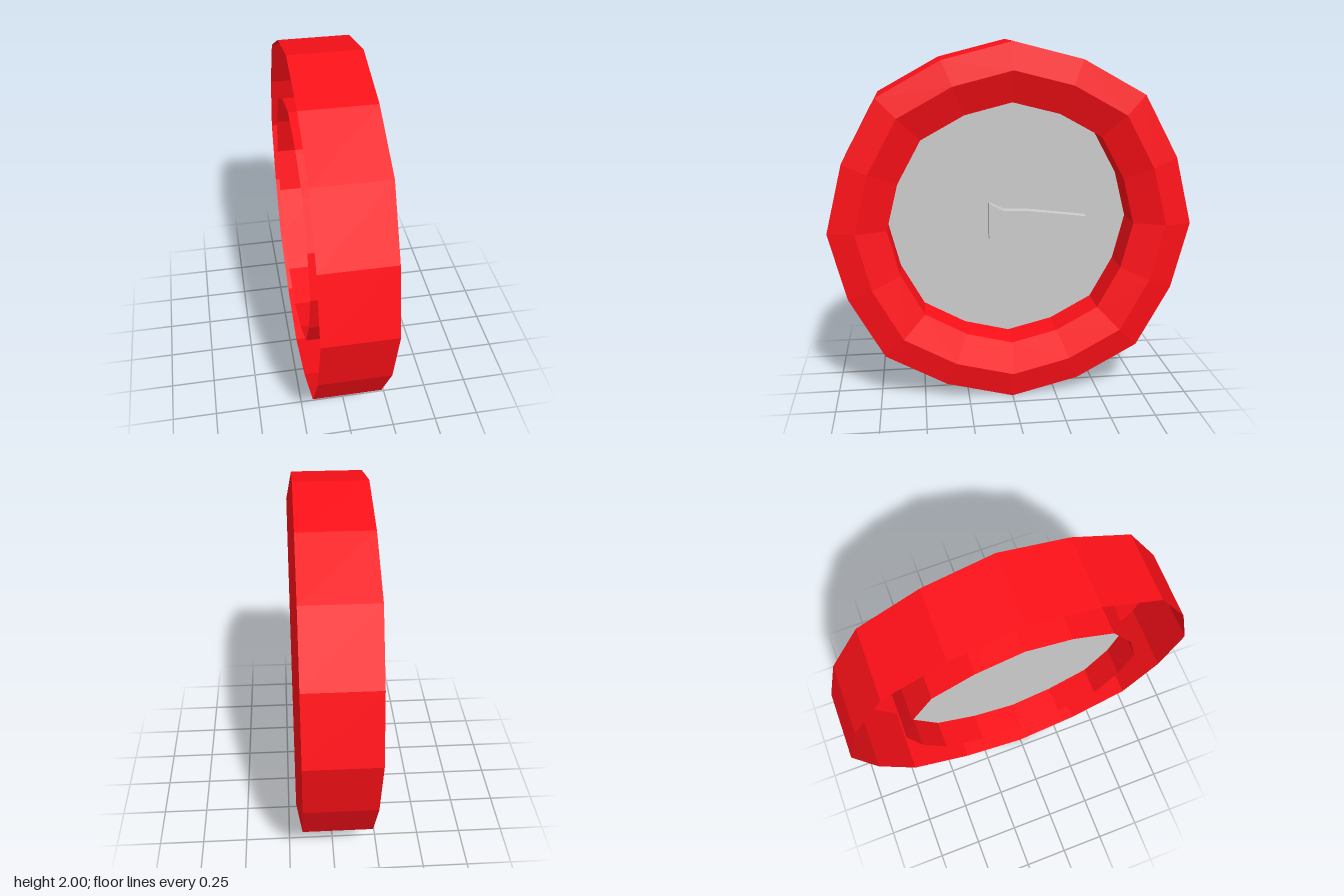
import * as THREE from 'three';

const SIDES = 16;
// slightly uneven 16-gon: corner radius factor repeats every four corners
const FACTORS = [1, 0.98, 1.014, 0.98];

// revolve [radius, x] points around the x axis
function revolve(profile) {
  const geo = new THREE.LatheGeometry(profile.map(([r, x]) => new THREE.Vector2(r, x)), SIDES);
  const pos = geo.attributes.position;
  for (let i = 0; i < pos.count; i++) {
    const corner = Math.floor(i / profile.length);
    const f = FACTORS[corner % 4];
    pos.setXYZ(i, pos.getX(i) * f, pos.getY(i), pos.getZ(i) * f);
  }
  geo.rotateZ(-Math.PI / 2);
  const flat = geo.toNonIndexed();
  flat.computeVertexNormals();
  return flat;
}

export function createModel() {
  const group = new THREE.Group();
  group.name = 'dial';

  const red = new THREE.MeshStandardMaterial({ color: 0xff1018, flatShading: true, side: THREE.DoubleSide });
  const grey = new THREE.MeshStandardMaterial({ color: 0xcccccc, flatShading: true, side: THREE.DoubleSide });

  function add(name, geo, mat, x = 0) {
    const mesh = new THREE.Mesh(geo, mat);
    mesh.name = name;
    mesh.position.set(x, 1, 0);
    group.add(mesh);
  }

  // hollow rim: outer wall, bevelled front, inner wall, open at the back
  add('rim', revolve([[1, -0.21], [1, 0.175], [0.853, 0.205], [0.683, 0.145], [0.683, -0.21]]), red);

  // thin face recessed inside the rim
  const faceX = -0.05;
  add('face', revolve([[0, 0], [0.683, 0]]), grey, faceX);

  // pointer with a flared tail, lying on the face
  const half = [[-0.115, 0.103], [-0.03, 0.06], [0.1, 0.056], [0.445, 0.014]];
  const outline = [...half, ...half.slice().reverse().map(([u, v]) => [u, -v])];
  const shape = new THREE.Shape(outline.map(([u, v]) => new THREE.Vector2(u, v)));
  const pointer = new THREE.ExtrudeGeometry(shape, { depth: 0.06, bevelEnabled: false });
  pointer.rotateY(Math.PI / 2);
  add('pointer', pointer, grey, faceX);

  return group;
}
